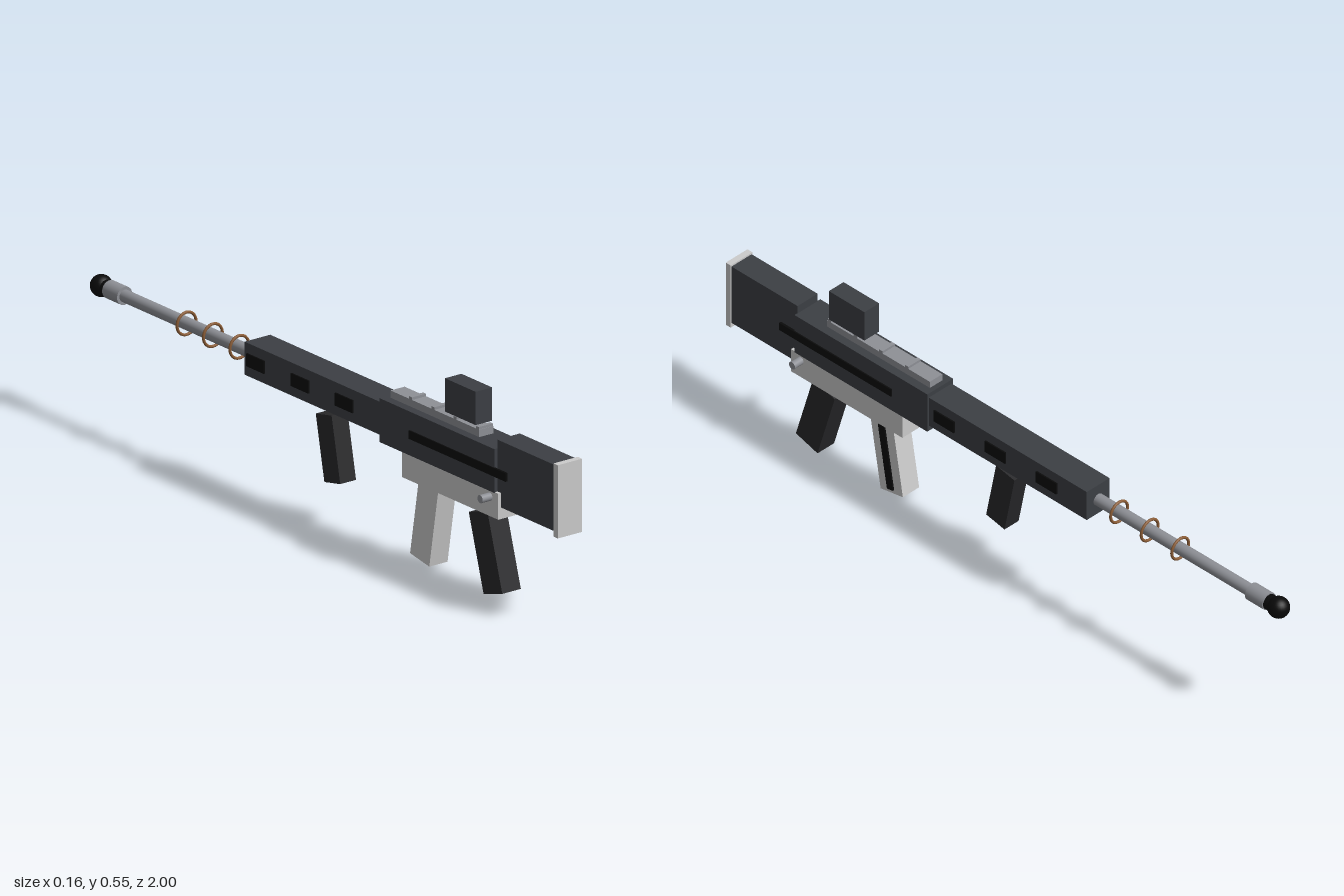
import * as THREE from 'three';

export function createModel() {
  const model = new THREE.Group();
  const mat = (color) => new THREE.MeshStandardMaterial({ color });
  const grey = mat(0xcccccc), gunmetal = mat(0x3c3f44), polymer = mat(0x29292b);
  const black = mat(0x0a0a0a), steel = mat(0x8e9096), copper = mat(0x8a5c36);
  const AXIS = 0.365; // bore height

  function add(name, geometry, material, x, y, z) {
    const mesh = new THREE.Mesh(geometry, material);
    mesh.name = name;
    mesh.position.set(x, y, z);
    model.add(mesh);
    return mesh;
  }
  // Box given by its centre x, width, and y and z ranges
  const block = (name, material, x, w, y0, y1, z0, z1) =>
    add(name, new THREE.BoxGeometry(w, y1 - y0, z1 - z0), material, x, (y0 + y1) / 2, (z0 + z1) / 2);
  // Cylinder along z on the bore axis
  const tube = (name, material, r, z0, z1) =>
    add(name, new THREE.CylinderGeometry(r, r, z1 - z0, 24).rotateX(Math.PI / 2), material, 0, AXIS, (z0 + z1) / 2);

  // Stock and body
  block('buttPlate', grey, 0, 0.08, 0.251, 0.453, 0.982, 1);
  block('stock', gunmetal, 0, 0.074, 0.265, 0.448, 0.742, 0.982);
  block('receiver', gunmetal, 0, 0.095, 0.303, 0.424, 0.26, 0.743);
  block('lowerReceiver', grey, 0, 0.092, 0.233, 0.305, 0.352, 0.757);
  block('handguard', gunmetal, 0, 0.084, 0.32, 0.411, -0.314, 0.262);
  for (const s of [-1, 1]) block('sideStrip', black, s * 0.048, 0.007, 0.35, 0.373, 0.388, 0.795);

  // Handguard vents, staggered between the two sides
  for (let i = 0; i < 3; i++) {
    for (const s of [-1, 1]) {
      const z = (s > 0 ? 0.202 : 0.107) - i * 0.186;
      block('vent', black, s * 0.0425, 0.008, 0.348, 0.383, z - 0.037, z + 0.037);
    }
  }

  // Cross pin
  add('crossPin', new THREE.CylinderGeometry(0.011, 0.011, 0.156, 16).rotateZ(Math.PI / 2), steel, 0, 0.287, 0.722);

  // Top rail, its ridges and the sight
  block('rail', steel, 0, 0.046, 0.42, 0.444, 0.275, 0.648);
  for (let i = 0; i < 4; i++) {
    const z = 0.64 - i * 0.0935;
    block('railRidge', steel, 0, 0.046, 0.44, 0.451, z - 0.006, z + 0.006);
  }
  block('sight', gunmetal, 0, 0.054, 0.455, 0.547, 0.509, 0.638);

  // Raked grips and magazine
  const raked = (name, material, size, y, z, tilt) => {
    const mesh = add(name, new THREE.BoxGeometry(...size), material, 0, y, z);
    mesh.rotation.x = tilt;
    return mesh;
  };
  raked('rearGrip', polymer, [0.061, 0.218, 0.082], 0.117, 0.684, -0.29);
  raked('foreGrip', polymer, [0.052, 0.182, 0.068], 0.208, 0.016, -0.2);
  const magazine = raked('magazine', grey, [0.06, 0.218, 0.082], 0.124, 0.425, 0.17);
  const stripe = new THREE.Mesh(new THREE.BoxGeometry(0.008, 0.195, 0.022), black);
  stripe.name = 'magazineStripe';
  stripe.position.x = 0.031;
  magazine.add(stripe);

  // Barrel, coils and muzzle
  tube('barrel', steel, 0.017, -0.9, -0.3);
  tube('muzzle', steel, 0.025, -0.935, -0.872);
  tube('muzzleNeck', black, 0.022, -0.96, -0.93);
  add('muzzleTip', new THREE.SphereGeometry(0.03, 24, 16), black, 0, AXIS, -0.97);
  for (const z of [-0.39, -0.501, -0.612]) {
    add('coil', new THREE.TorusGeometry(0.031, 0.004, 10, 32), copper, 0, AXIS, z);
  }
  return model;
}
